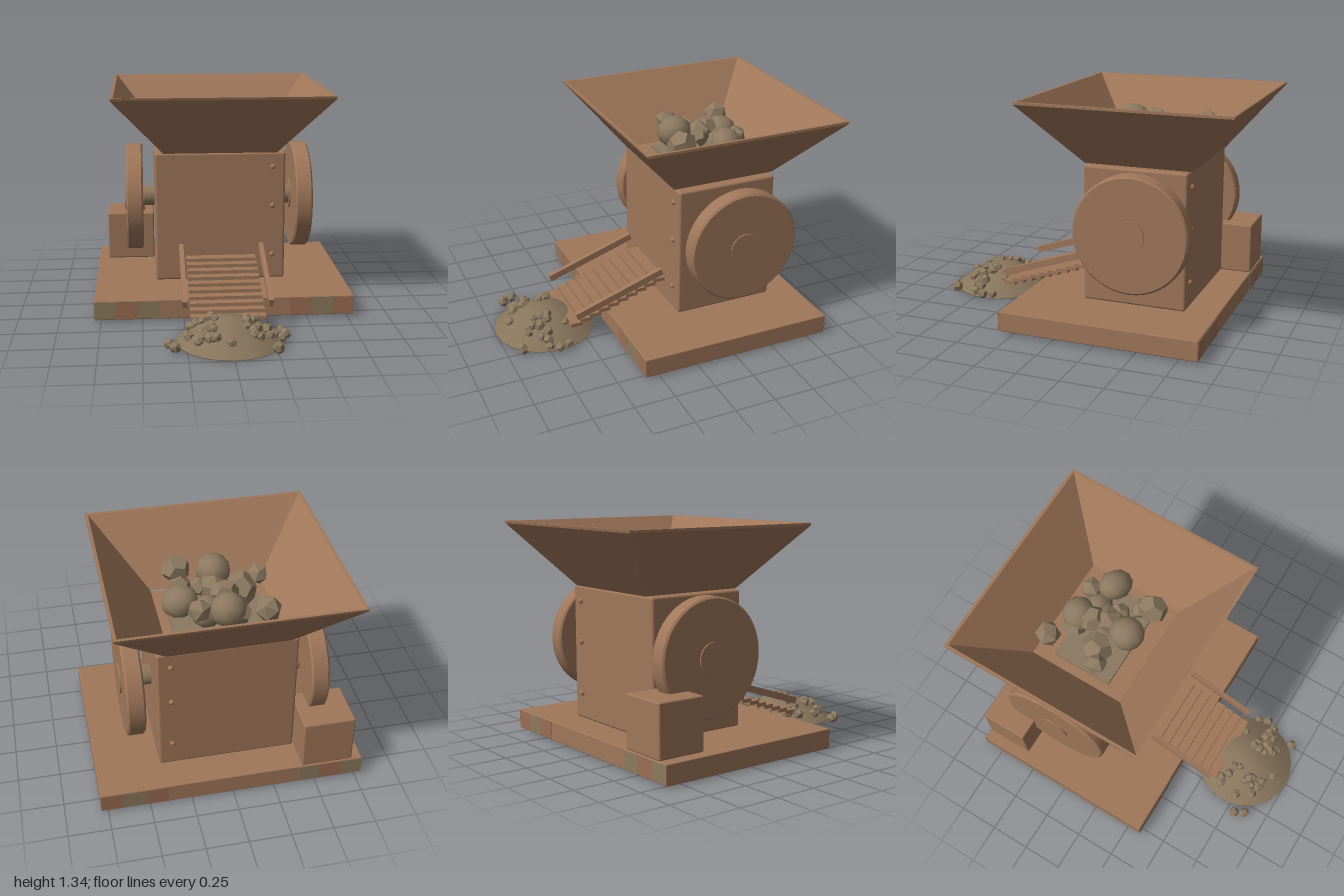
import * as THREE from 'three';
import { RoundedBoxGeometry } from 'three/addons/geometries/RoundedBoxGeometry.js';

const mat = (name, color, extra = {}) => {
  const m = new THREE.MeshStandardMaterial({ color, ...extra });
  m.name = name;
  return m;
};

// Small seeded random generator
function seeded(seed) {
  return () => {
    seed = (seed * 16807) % 2147483647;
    return seed / 2147483647;
  };
}

// Square-section shell lofted through rings of [halfX, y, halfZ], closed back on itself
function squareShell(rings) {
  const corners = [[-1, 1], [1, 1], [1, -1], [-1, -1]];
  const pos = [];
  const point = (r, j) => {
    const [hx, y, hz] = rings[r % rings.length];
    const [sx, sz] = corners[j % 4];
    return [sx * hx, y, sz * hz];
  };
  for (let r = 0; r < rings.length; r++) {
    for (let j = 0; j < 4; j++) {
      const a = point(r, j), b = point(r, j + 1), c = point(r + 1, j + 1), d = point(r + 1, j);
      pos.push(...a, ...b, ...c, ...a, ...c, ...d);
    }
  }
  const g = new THREE.BufferGeometry();
  g.setAttribute('position', new THREE.Float32BufferAttribute(pos, 3));
  g.computeVertexNormals();
  return g;
}

export function createModel() {
  const model = new THREE.Group();
  model.name = 'rockCrusher';
  const brown = mat('rustyBrown', 0xa0775a);
  const rust = mat('rustRed', 0x9a6d53);
  const olive = mat('fadedOlive', 0x8c7a5c);
  const steel = mat('shaftSteel', 0x8c775c);
  const stone = mat('stone', 0x8c7960);
  const gravel = mat('gravel', 0x87745b);

  const add = (name, geo, material, x = 0, y = 0, z = 0, parent = model) => {
    const m = new THREE.Mesh(geo, material);
    m.name = name;
    m.position.set(x, y, z);
    parent.add(m);
    return m;
  };
  const box = (w, h, d, r) => (r ? new RoundedBoxGeometry(w, h, d, 2, r) : new THREE.BoxGeometry(w, h, d));

  // Base slab with worn stripes along its front and back edges
  add('base', box(1.58, 0.12, 1.2, 0.006), brown, 0, 0.07, -0.262);
  const step = 1.58 / 12;
  for (const i of [0, 1, 2, 9, 10, 11]) {
    for (const z of [0.339, -0.863]) {
      add('baseStripe', box(step, 0.108, 0.004), i % 2 ? rust : olive, -0.79 + step * (i + 0.5), 0.07, z);
    }
  }

  // Main housing and motor box
  add('housing', box(0.82, 0.82, 0.63, 0.015), brown, 0, 0.542, -0.358);
  add('motorBox', box(0.31, 0.315, 0.3, 0.01), brown, -0.57, 0.288, -0.71);

  // Rivets down one edge, front and back
  const rivet = new THREE.SphereGeometry(0.017, 12, 8);
  for (const y of [0.86, 0.61, 0.29]) {
    for (const z of [-0.042, -0.674]) add('rivet', rivet, brown, 0.33, y, z);
  }

  // Hopper with sloping walls, and its feed plate
  const hopper = squareShell([
    [0.355, 0.953, 0.327], [0.667, 1.325, 0.632], [0.667, 1.34, 0.636],
    [0.65, 1.34, 0.618], [0.338, 0.96, 0.308],
  ]);
  add('hopper', hopper, brown, 0, 0, -0.358);
  add('feedPlate', box(0.56, 0.02, 0.38), stone, 0, 0.962, -0.36);

  // Flywheels on a shared shaft
  const shaft = add('shaft', new THREE.CylinderGeometry(0.063, 0.063, 1.16, 24), steel, 0, 0.607, -0.39);
  shaft.rotation.z = Math.PI / 2;
  const rim = [[0, -0.053], [0.335, -0.053], [0.346, -0.043], [0.346, 0.043], [0.335, 0.053], [0, 0.053]];
  const profile = [];
  rim.forEach(([r, y], i) => {
    // Doubled points keep the rim edges crisp
    profile.push(new THREE.Vector2(r, y));
    if (i > 0 && i < rim.length - 1) profile.push(new THREE.Vector2(r, y));
  });
  const wheel = new THREE.LatheGeometry(profile, 48);
  const hub = new THREE.CylinderGeometry(0.093, 0.093, 0.124, 32);
  for (const side of [-1, 1]) {
    const g = new THREE.Group();
    g.name = side > 0 ? 'leftFlywheel' : 'rightFlywheel';
    g.position.set(side * 0.538, 0.607, -0.39);
    g.rotation.z = Math.PI / 2;
    add('wheel', wheel, brown, 0, 0, 0, g);
    add('hub', hub, brown, 0, 0, 0, g);
    model.add(g);
  }

  // Stepped chute with side rails
  for (let i = 0; i < 10; i++) {
    add('chuteStep', box(0.44, 0.024, 0.075), brown, 0, 0.28 - 0.021 * i, 0 + 0.061 * i);
  }
  for (const side of [-1, 1]) {
    const rail = add('chuteRail', box(0.028, 0.042, 0.595), brown, side * 0.252, 0.267, 0.28);
    rail.rotation.x = 0.325;
  }

  // Faceted rocks of three shapes, stretched and turned at random
  const rnd = seeded(71);
  const shapes = [
    new THREE.IcosahedronGeometry(1, 0), new THREE.DodecahedronGeometry(1, 0), new THREE.IcosahedronGeometry(1, 1),
  ];
  const rock = (name, material, x, y, z, r, kinds) => {
    const m = add(name, shapes[Math.floor(rnd() * kinds)], material, x, y, z);
    m.scale.set(r * (0.9 + 0.2 * rnd()), r * (0.85 + 0.2 * rnd()), r * (0.9 + 0.2 * rnd()));
    m.rotation.set(rnd() * 6, rnd() * 6, rnd() * 6);
  };

  // Rocks heaped in the hopper: x, y, z, radius
  [
    [-0.24, 1.13, -0.6, 0.08], [0.14, 1.13, -0.54, 0.075], [-0.03, 1.1, -0.52, 0.105],
    [0.23, 1.13, -0.43, 0.105], [-0.15, 1.09, -0.32, 0.1], [0.02, 1.13, -0.34, 0.09],
    [-0.26, 1.14, -0.26, 0.07], [-0.01, 1.16, -0.2, 0.1], [0.2, 1.16, -0.15, 0.09],
    [-0.03, 1.15, -0.42, 0.08], [0.09, 1.13, -0.31, 0.06], [0.19, 1.1, -0.23, 0.065],
    [-0.09, 1.07, -0.52, 0.08], [0.08, 1.06, -0.46, 0.09],
  ].forEach(([x, y, z, r]) => rock('hopperRock', stone, x, y, z, r, 3));

  // Gravel pile as a low mound
  const mound = [[0, 0], [0.31, 0], [0.31, 0.004], [0.24, 0.052], [0.17, 0.095], [0.1, 0.128], [0.04, 0.142], [0, 0.145]];
  add('gravelPile', new THREE.LatheGeometry(mound.map(([r, y]) => new THREE.Vector2(r, y)), 22), gravel, 0, 0, 0.692);

  // Crushed pieces scattered over the mound
  const surface = (d) => Math.max(0.025, 0.145 * Math.cos(Math.min(d / 0.31, 1) * Math.PI / 2));
  for (let i = 0; i < 30; i++) {
    const d = 0.25 * Math.sqrt(rnd()), a = rnd() * Math.PI * 2;
    rock('gravelPiece', stone, d * Math.cos(a), surface(d) + 0.006, 0.69 + d * Math.sin(a), 0.022 + 0.016 * rnd(), 2);
  }
  // Stray pieces around the edge: x, z
  [
    [-0.35, 0.8], [-0.32, 0.86], [-0.24, 0.75], [0.32, 0.69], [0.29, 0.75],
    [0.25, 0.91], [0.3, 0.63], [-0.18, 0.83], [-0.01, 0.91], [0.22, 0.78],
  ].forEach(([x, z]) => rock('strayPiece', stone, x, surface(Math.hypot(x, z - 0.69)) + 0.008, z, 0.026 + 0.012 * rnd(), 2));

  return model;
}
